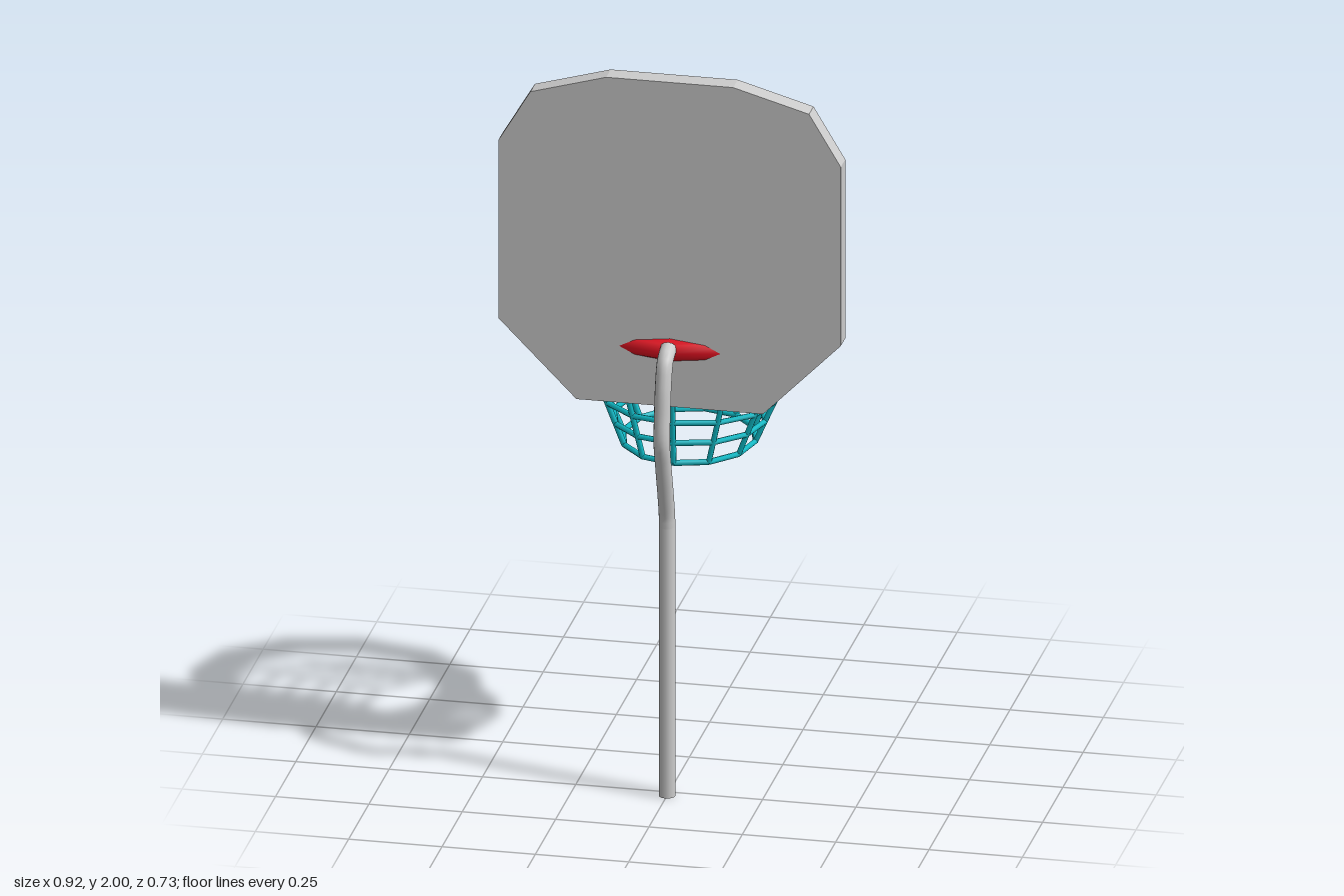
import * as THREE from 'three';

const grey = new THREE.MeshStandardMaterial({ color: 0xcccccc });
const red = new THREE.MeshStandardMaterial({ color: 0xe01020 });
const teal = new THREE.MeshStandardMaterial({ color: 0x10bcc8 });

function part(name, geometry, material) {
  const mesh = new THREE.Mesh(geometry, material);
  mesh.name = name;
  return mesh;
}

// Thin round cord between two points
function cord(name, a, b, radius = 0.008) {
  const dir = b.clone().sub(a);
  const mesh = part(name, new THREE.CylinderGeometry(radius, radius, dir.length(), 6), teal);
  mesh.position.copy(a).add(b).multiplyScalar(0.5);
  mesh.quaternion.setFromUnitVectors(new THREE.Vector3(0, 1, 0), dir.normalize());
  return mesh;
}

// Backboard: mirrored outline, extruded along z
function makeBackboard() {
  const half = [[0.25, 1.085], [0.458, 1.295], [0.458, 1.8], [0.373, 1.942], [0.17, 2]];
  const outline = [...half, ...half.map(([x, y]) => [-x, y]).reverse()];
  const shape = new THREE.Shape(outline.map(([x, y]) => new THREE.Vector2(x, y)));
  const geometry = new THREE.ExtrudeGeometry(shape, { depth: 0.056, bevelEnabled: false });
  geometry.translate(0, 0, 0.187);
  return part('backboard', geometry, grey);
}

// Target frame on the hoop side of the board
function makeTarget() {
  const rect = (w, y0, y1) => [[-w, y0], [w, y0], [w, y1], [-w, y1]].map(([x, y]) => new THREE.Vector2(x, y));
  const shape = new THREE.Shape(rect(0.355, 1.325, 1.705));
  shape.holes.push(new THREE.Path(rect(0.312, 1.363, 1.667)));
  const geometry = new THREE.ExtrudeGeometry(shape, { depth: 0.004, bevelEnabled: false });
  geometry.translate(0, 0, 0.184);
  return part('targetFrame', geometry, red);
}

// Oval twelve-sided rim
function makeRim() {
  const geometry = new THREE.TorusGeometry(1, 0.175, 10, 12);
  geometry.rotateX(Math.PI / 2);
  geometry.scale(0.333, 0.2, 0.273);
  geometry.translate(0, 1.245, -0.048);
  return part('rim', geometry, red);
}

// Tapering net: twelve strands and six rings
function makeNet() {
  const net = new THREE.Group();
  net.name = 'net';
  const sides = 12, rings = 6;
  const point = (i, t) => {
    const angle = (i / sides) * Math.PI * 2;
    const rx = THREE.MathUtils.lerp(0.177, 0.305, t);
    const rz = THREE.MathUtils.lerp(0.195, 0.218, t);
    return new THREE.Vector3(rx * Math.cos(angle), 0.907 + 0.29 * t, rz * Math.sin(angle));
  };
  for (let i = 0; i < sides; i++) {
    net.add(cord('netStrand', point(i, 0), point(i, 1)));
    for (let r = 0; r < rings; r++) {
      const t = r / (rings - 1);
      net.add(cord('netRing', point(i, t), point(i + 1, t)));
    }
  }
  return net;
}

// Pole: straight post, then a bent neck reaching the rim
function makePole() {
  const pole = new THREE.Group();
  pole.name = 'pole';
  const post = part('post', new THREE.CylinderGeometry(0.022, 0.022, 0.76, 12), grey);
  post.position.set(0, 0.38, 0.275);
  const path = [[0.76, 0.275], [0.79, 0.277], [0.86, 0.295], [0.95, 0.323], [1.02, 0.342],
    [1.1, 0.335], [1.18, 0.322], [1.235, 0.3], [1.255, 0.255]];
  const curve = new THREE.CatmullRomCurve3(path.map(([y, z]) => new THREE.Vector3(0, y, z)), false, 'centripetal');
  const neck = part('neck', new THREE.TubeGeometry(curve, 32, 0.022, 12), grey);
  pole.add(post, neck);
  return pole;
}

export function createModel() {
  const model = new THREE.Group();
  model.name = 'basketballHoop';
  model.add(makeBackboard(), makeTarget(), makeRim(), makeNet(), makePole());
  return model;
}
